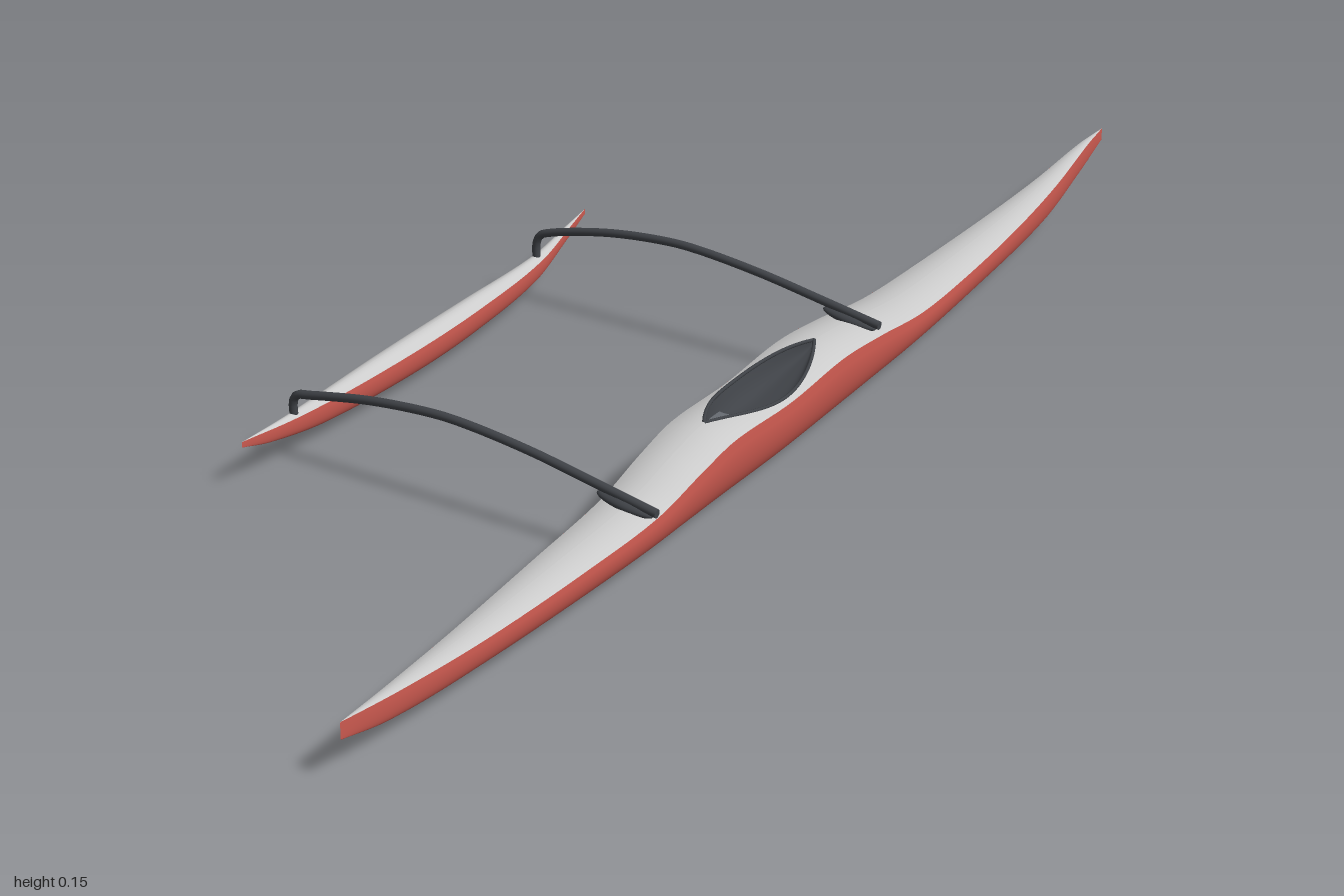
import * as THREE from 'three';

const paint = (color) => new THREE.MeshStandardMaterial({ color, side: THREE.DoubleSide });
const red = paint(0xcc5a50), grey = paint(0xcccccc), dark = paint(0x3f4247), seatGrey = paint(0x62666c);

// Smooth height curve through [z, y] points (cubic Hermite, z ascending)
function curve(pts) {
  const slope = (i) => {
    const a = pts[Math.max(i - 1, 0)], b = pts[Math.min(i + 1, pts.length - 1)];
    return (b[1] - a[1]) / (b[0] - a[0]);
  };
  return (z) => {
    let i = 0;
    while (i < pts.length - 2 && z > pts[i + 1][0]) i++;
    const [z0, y0] = pts[i], [z1, y1] = pts[i + 1], h = z1 - z0;
    const t = THREE.MathUtils.clamp((z - z0) / h, 0, 1), t2 = t * t, t3 = t2 * t;
    return (2 * t3 - 3 * t2 + 1) * y0 + (t3 - 2 * t2 + t) * h * slope(i)
      + (3 * t2 - 2 * t3) * y1 + (t3 - t2) * h * slope(i + 1);
  };
}

// Surface from a rule fn(u, v) -> [x, y, z]
function sheet(name, nu, nv, fn, material) {
  const pos = [], idx = [], row = nv + 1;
  for (let i = 0; i <= nu; i++) for (let j = 0; j <= nv; j++) pos.push(...fn(i / nu, j / nv));
  for (let i = 0; i < nu; i++) for (let j = 0; j < nv; j++) {
    const a = i * row + j, b = a + row;
    idx.push(a, b, a + 1, b, b + 1, a + 1);
  }
  const g = new THREE.BufferGeometry();
  g.setAttribute('position', new THREE.Float32BufferAttribute(pos, 3));
  g.setIndex(idx);
  g.computeVertexNormals();
  const mesh = new THREE.Mesh(g, material);
  mesh.name = name;
  return mesh;
}

// Slender boat body: red U-shaped shell and crowned grey deck, with an optional opening
function boat(name, { x, z0, z1, half, power, crown, top, keel, opening = () => 0 }) {
  const group = new THREE.Group();
  group.name = name;
  group.position.x = x;
  const mid = (z0 + z1) / 2, len = (z1 - z0) / 2;
  const zAt = (u) => z0 + (z1 - z0) * u;
  const full = (z) => Math.max(0, 1 - ((z - mid) / len) ** 2) ** power;
  const width = (z) => half * full(z);
  const edge = (z) => 0.95 * width(z);
  const sheer = (z) => top(z) - crown * full(z);
  const deckY = (px, z) => {
    const e = edge(z);
    return sheer(z) + (e > 1e-6 ? crown * full(z) * (1 - (px / e) ** 2) : 0);
  };
  group.add(sheet(name + 'Shell', 120, 28, (u, v) => {
    const z = zAt(u), a = (0.5 - v) * Math.PI, s = Math.sin(a);
    const h = 1 - Math.max(0, Math.cos(a)) ** 0.85;
    const px = width(z) * Math.sign(s) * Math.abs(s) ** 0.85 * (1 - 0.05 * h ** 6);
    return [px, keel(z) + (sheer(z) - keel(z)) * h, z];
  }, red));
  for (const side of [-1, 1]) {
    group.add(sheet(name + (side > 0 ? 'DeckLeft' : 'DeckRight'), 200, 8, (u, v) => {
      const z = zAt(u), t = side > 0 ? v : 1 - v;
      const px = side * THREE.MathUtils.lerp(opening(z), edge(z), t);
      return [px, deckY(px, z), z];
    }, grey));
  }
  return { group, deckY };
}

// Tube through [x, y] points at a fixed z
function crossBeam(name, z, pts) {
  const path = new THREE.CatmullRomCurve3(pts.map(([x, y]) => new THREE.Vector3(x, y, z)), false, 'centripetal');
  const group = new THREE.Group();
  group.name = name;
  const tube = new THREE.Mesh(new THREE.TubeGeometry(path, 72, 0.006, 12), dark);
  tube.name = name + 'Tube';
  group.add(tube);
  // End caps
  for (const [i, turn] of [[0, Math.PI / 2], [pts.length - 1, 0]]) {
    const cap = new THREE.Mesh(new THREE.CircleGeometry(0.006, 12), dark);
    cap.name = name + 'Cap';
    cap.position.set(pts[i][0], pts[i][1], z);
    cap.rotation.set(i ? Math.PI / 2 : 0, turn, 0);
    group.add(cap);
  }
  return group;
}

export function createModel() {
  const model = new THREE.Group();
  model.name = 'outriggerCanoe';

  // Main hull with lens-shaped cockpit opening
  const cz = 0.075, cl = 0.145;
  const opening = (z) => 0.041 * Math.max(0, 1 - ((z - cz) / cl) ** 2);
  const hull = boat('mainHull', {
    x: 0.243, z0: -1, z1: 1, half: 0.054, power: 1, crown: 0.012, opening,
    top: curve([[-1, 0.1], [-0.93, 0.098], [-0.8, 0.084], [-0.65, 0.077], [-0.45, 0.076], [-0.3, 0.081],
      [-0.17, 0.1], [-0.06, 0.111], [0.08, 0.106], [0.22, 0.111], [0.3, 0.099], [0.4, 0.079],
      [0.55, 0.073], [0.75, 0.07], [0.9, 0.074], [1, 0.08]]),
    keel: curve([[-1, 0.08], [-0.92, 0.055], [-0.77, 0.022], [-0.5, 0.011], [0, 0],
      [0.5, 0.011], [0.8, 0.024], [0.92, 0.037], [1, 0.057]]),
  });
  model.add(hull.group);

  // Cockpit well
  const wellPoint = (z, v) => {
    const w = opening(z), s = (z - cz) / cl;
    const depth = 0.03 * Math.sqrt(Math.max(0, 1 - s * s)) * (1 - v ** 4);
    return [w * v, hull.deckY(w, z) - depth, z];
  };
  hull.group.add(sheet('cockpitWell', 40, 16, (u, v) => wellPoint(cz + cl * (2 * u - 1), 2 * v - 1), dark));

  // Seat pad
  hull.group.add(sheet('seat', 20, 12, (u, v) => {
    const z = 0.12 + 0.09 * u;
    const spread = 0.7 * Math.sqrt(Math.min(1, u * 4));
    const p = wellPoint(z, (2 * v - 1) * spread);
    p[1] += 0.004;
    return p;
  }, seatGrey));

  // Cockpit rim
  for (const side of [-1, 1]) {
    const pts = [];
    for (let i = 0; i <= 24; i++) {
      const z = cz + cl * (i / 12 - 1), w = opening(z);
      pts.push(new THREE.Vector3(side * w, hull.deckY(w, z), z));
    }
    const rim = new THREE.Mesh(new THREE.TubeGeometry(new THREE.CatmullRomCurve3(pts), 48, 0.0025, 8), dark);
    rim.name = side > 0 ? 'cockpitRimLeft' : 'cockpitRimRight';
    hull.group.add(rim);
  }

  // Outrigger float
  model.add(boat('float', {
    x: -0.278, z0: -0.3, z1: 0.52, half: 0.0215, power: 1.1, crown: 0.011,
    top: curve([[-0.3, 0.098], [-0.26, 0.09], [-0.17, 0.072], [0, 0.069], [0.2, 0.068], [0.41, 0.066], [0.52, 0.07]]),
    keel: curve([[-0.3, 0.09], [-0.25, 0.068], [-0.16, 0.034], [0, 0.018], [0.15, 0.015], [0.35, 0.025], [0.46, 0.044], [0.52, 0.062]]),
  }).group);

  // Curved cross beams ending in a short post on the float
  model.add(crossBeam('rearBeam', -0.17, [[0.29, 0.103], [0.2, 0.119], [0.1, 0.136], [0, 0.147], [-0.05, 0.148],
    [-0.15, 0.138], [-0.25, 0.115], [-0.271, 0.106], [-0.278, 0.092], [-0.278, 0.06]]));
  model.add(crossBeam('frontBeam', 0.41, [[0.29, 0.08], [0.2, 0.097], [0.1, 0.115], [0, 0.126], [-0.05, 0.127],
    [-0.15, 0.118], [-0.25, 0.099], [-0.271, 0.094], [-0.278, 0.083], [-0.278, 0.06]]));

  // Lens-shaped saddles joining the beams to the hull
  for (const [name, y, z] of [['rearSaddle', 0.102, -0.17], ['frontSaddle', 0.08, 0.41]]) {
    const saddle = new THREE.Mesh(new THREE.SphereGeometry(1, 24, 12), dark);
    saddle.name = name;
    saddle.scale.set(0.042, 0.008, 0.012);
    saddle.position.set(0.243, y, z);
    saddle.rotation.z = -0.15;
    model.add(saddle);
  }
  return model;
}
